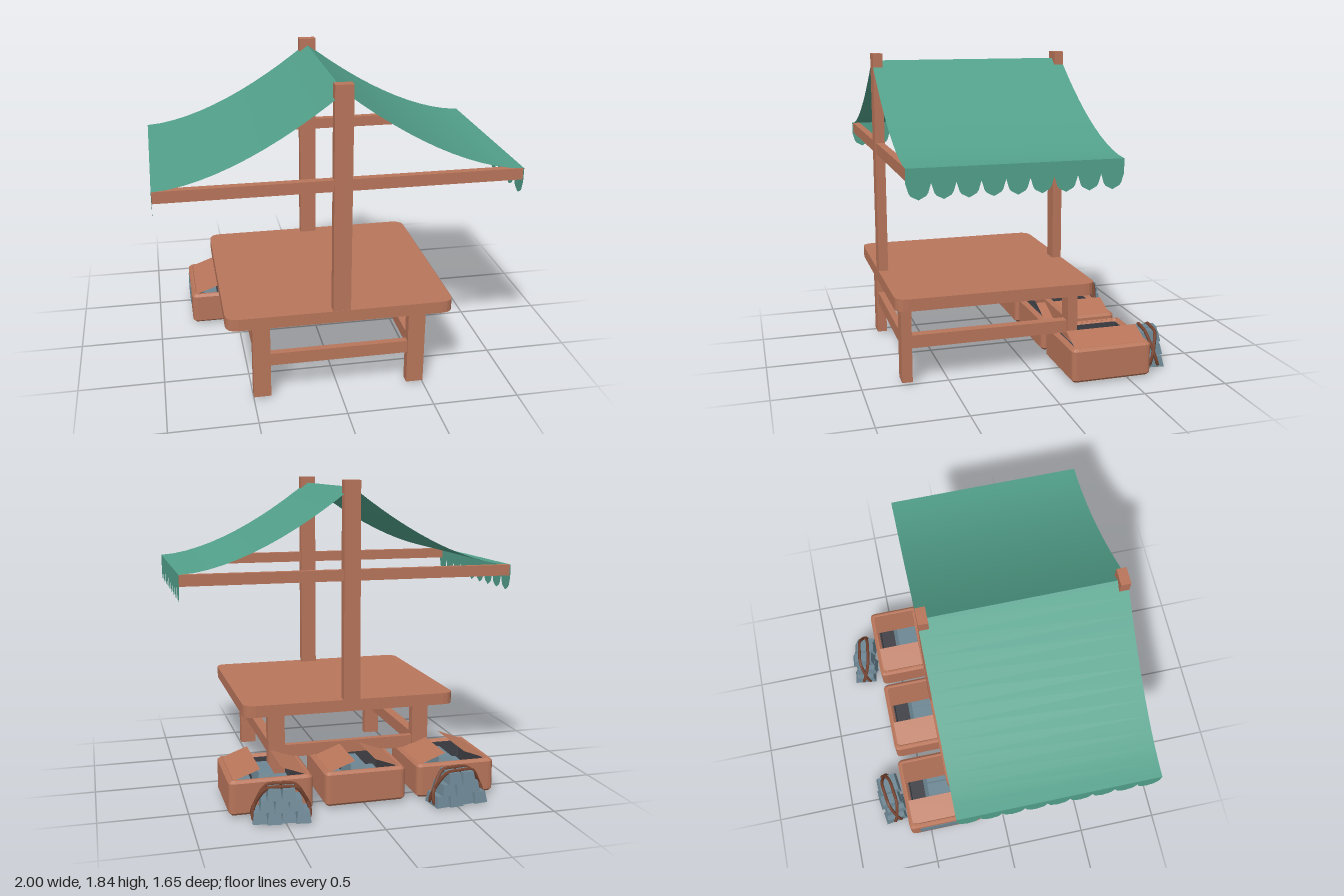
import * as THREE from 'three';

const mat = (name, color, side = THREE.FrontSide) => {
  const m = new THREE.MeshStandardMaterial({ color, side });
  m.name = name;
  return m;
};

export function createModel() {
  const wood = mat('wood', 0xb8755a, THREE.DoubleSide);
  const cloth = mat('greenCloth', 0x52a08a, THREE.DoubleSide);
  const metal = mat('blueGreyMetal', 0x6d8794);
  const leather = mat('leather', 0x7a4632);
  const dark = mat('darkInterior', 0x3f4046);
  const root = new THREE.Group();

  const add = (parent, name, geo, material, x = 0, y = 0, z = 0) => {
    const m = new THREE.Mesh(geo, material);
    m.name = name;
    m.position.set(x, y, z);
    parent.add(m);
    return m;
  };
  // Box given by its minimum and maximum corners
  const box = (parent, name, material, x0, x1, y0, y1, z0, z1) =>
    add(parent, name, new THREE.BoxGeometry(x1 - x0, y1 - y0, z1 - z0), material,
      (x0 + x1) / 2, (y0 + y1) / 2, (z0 + z1) / 2);
  // Rectangle with rounded corners
  const roundRect = (w, d, r, Type = THREE.Shape) => {
    const s = new Type(), a = w / 2, b = d / 2;
    s.moveTo(-a + r, -b);
    s.lineTo(a - r, -b); s.quadraticCurveTo(a, -b, a, -b + r);
    s.lineTo(a, b - r); s.quadraticCurveTo(a, b, a - r, b);
    s.lineTo(-a + r, b); s.quadraticCurveTo(-a, b, -a, b - r);
    s.lineTo(-a, -b + r); s.quadraticCurveTo(-a, -b, -a + r, -b);
    return s;
  };
  // Extrude a plan shape upwards from y = 0
  const slab = (shape, h, bevel = 0) => {
    const g = new THREE.ExtrudeGeometry(shape, {
      depth: h - 2 * bevel, curveSegments: 4, bevelEnabled: bevel > 0,
      bevelSize: bevel, bevelThickness: bevel, bevelOffset: -bevel, bevelSegments: 1,
    });
    return g.translate(0, 0, bevel).rotateX(-Math.PI / 2);
  };

  // Table
  const table = new THREE.Group();
  table.name = 'table';
  root.add(table);
  add(table, 'tableTop', slab(roundRect(1.3, 1.16, 0.07), 0.07), wood, 0, 0.48, 0.24);
  for (const s of [-1, 1]) {
    for (const z of [0.74, -0.255]) box(table, 'leg', wood, s * 0.45 - 0.05, s * 0.45 + 0.05, 0.01, 0.48, z - 0.03, z + 0.03);
    box(table, 'sideStretcher', wood, s * 0.45 - 0.03, s * 0.45 + 0.03, 0.205, 0.28, -0.225, 0.71);
  }
  for (const z of [0.74, -0.255]) box(table, 'crossStretcher', wood, -0.4, 0.4, 0.205, 0.28, z - 0.02, z + 0.02);

  // Posts and canopy bars
  for (const z of [0.79, -0.312]) {
    box(root, 'post', wood, -0.05, 0.05, 0.55, 1.84, z - 0.028, z + 0.028);
    box(root, 'canopyBar', wood, -0.998, 0.998, 1.26, 1.325, z - 0.022, z + 0.022);
  }

  // Sagging cloth halves with scalloped edges
  const zBack = -0.34, zFront = 0.818, depth = zFront - zBack, teeth = 9;
  for (const s of [-1, 1]) {
    const g = new THREE.PlaneGeometry(1, depth, 12, 1).rotateX(-Math.PI / 2);
    const p = g.attributes.position;
    for (let i = 0; i < p.count; i++) {
      const x = p.getX(i) + 0.5, t = s > 0 ? x : 1 - x;
      p.setXYZ(i, s * t, 1.8 - 0.473 * (1 - Math.pow(1 - t, 1.65)), p.getZ(i) + (zBack + zFront) / 2);
    }
    g.computeVertexNormals();
    add(root, 'canopyCloth', g, cloth);

    const edge = new THREE.Shape(), w = depth / teeth;
    edge.moveTo(0, 1.327);
    for (let i = 0; i < teeth; i++) {
      for (const [u, y] of [[0, 1.25], [0.12, 1.2], [0.2, 1.186], [0.5, 1.166], [0.8, 1.186], [0.88, 1.2]])
        edge.lineTo((i + u) * w, y);
    }
    edge.lineTo(depth, 1.25);
    edge.lineTo(depth, 1.327);
    const eg = new THREE.ShapeGeometry(edge).rotateY(s * Math.PI / 2);
    add(root, 'scallopedEdge', eg, cloth, s, 0, s > 0 ? zFront : zBack);
  }

  // Tapered ingot, lying along z
  const ingotGeo = new THREE.CylinderGeometry(0.8 * Math.SQRT1_2, Math.SQRT1_2, 1, 4)
    .rotateY(Math.PI / 4).toNonIndexed();
  ingotGeo.computeVertexNormals();
  const ingot = (parent, x, y, z, w, h, l) =>
    add(parent, 'ingot', ingotGeo, metal, x, y + h / 2, z).scale.set(w, h, l);

  // Open crates with raised lid flaps
  for (const cx of [-0.55, 0, 0.55]) {
    const crate = new THREE.Group();
    crate.name = 'crate';
    crate.position.set(cx, 0.01, -0.393);
    root.add(crate);
    const wall = roundRect(0.48, 0.485, 0.035);
    wall.holes.push(roundRect(0.4, 0.4, 0.01, THREE.Path));
    add(crate, 'crateWalls', slab(wall, 0.2, 0.015), wood);
    box(crate, 'crateFloor', wood, -0.21, 0.21, 0, 0.02, -0.21, 0.21);
    const liner = roundRect(0.41, 0.41, 0.01);
    liner.holes.push(roundRect(0.385, 0.385, 0.01, THREE.Path));
    add(crate, 'crateLining', slab(liner, 0.165), dark, 0, 0.02, 0);
    box(crate, 'liningFloor', dark, -0.2, 0.2, 0.02, 0.028, -0.2, 0.2);
    for (const s of [-1, 1]) {
      const flap = new THREE.PlaneGeometry(Math.hypot(0.16, 0.06), 0.435).rotateX(-Math.PI / 2).rotateZ(-s * Math.atan2(0.06, 0.16));
      add(crate, 'lidFlap', flap, wood, s * 0.14, 0.222, 0);
    }
    for (const x of [-0.11, 0, 0.11]) ingot(crate, x, 0.028, 0.03, 0.105, 0.075, 0.26);
    ingot(crate, 0, 0.103, 0.03, 0.105, 0.075, 0.26);
  }
  // Metal panel on the outer side of one crate
  box(root, 'sidePanel', metal, -0.794, -0.788, 0.06, 0.165, -0.57, -0.32);

  // Strapped ingot stacks
  for (const s of [-1, 1]) {
    const stack = new THREE.Group();
    stack.name = 'ingotStack';
    stack.position.set(s * 0.517, 0.005, -0.727);
    stack.rotation.y = -s * 0.13;
    root.add(stack);
    [4, 3, 2].forEach((n, row) => {
      for (let i = 0; i < n; i++)
        ingot(stack, (i - (n - 1) / 2) * 0.079, row * 0.064, 0.008 * ((i + row) % 2 ? 1 : -1), 0.082, 0.064, 0.145);
    });
    for (const k of [-1, 1]) {
      const pts = [[-0.15, 0.01], [0, 0.01], [0.15, 0.01], [0.158, 0.06], [0.125, 0.135],
        [0.08, 0.19], [0, 0.197], [-0.08, 0.19], [-0.125, 0.135], [-0.158, 0.06]]
        .map(([x, y]) => new THREE.Vector3(x, y, k * 0.3 * (y - 0.1)));
      const path = new THREE.CatmullRomCurve3(pts, true, 'centripetal');
      add(stack, 'strap', new THREE.TubeGeometry(path, 40, 0.011, 5, true), leather);
    }
  }
  return root;
}
